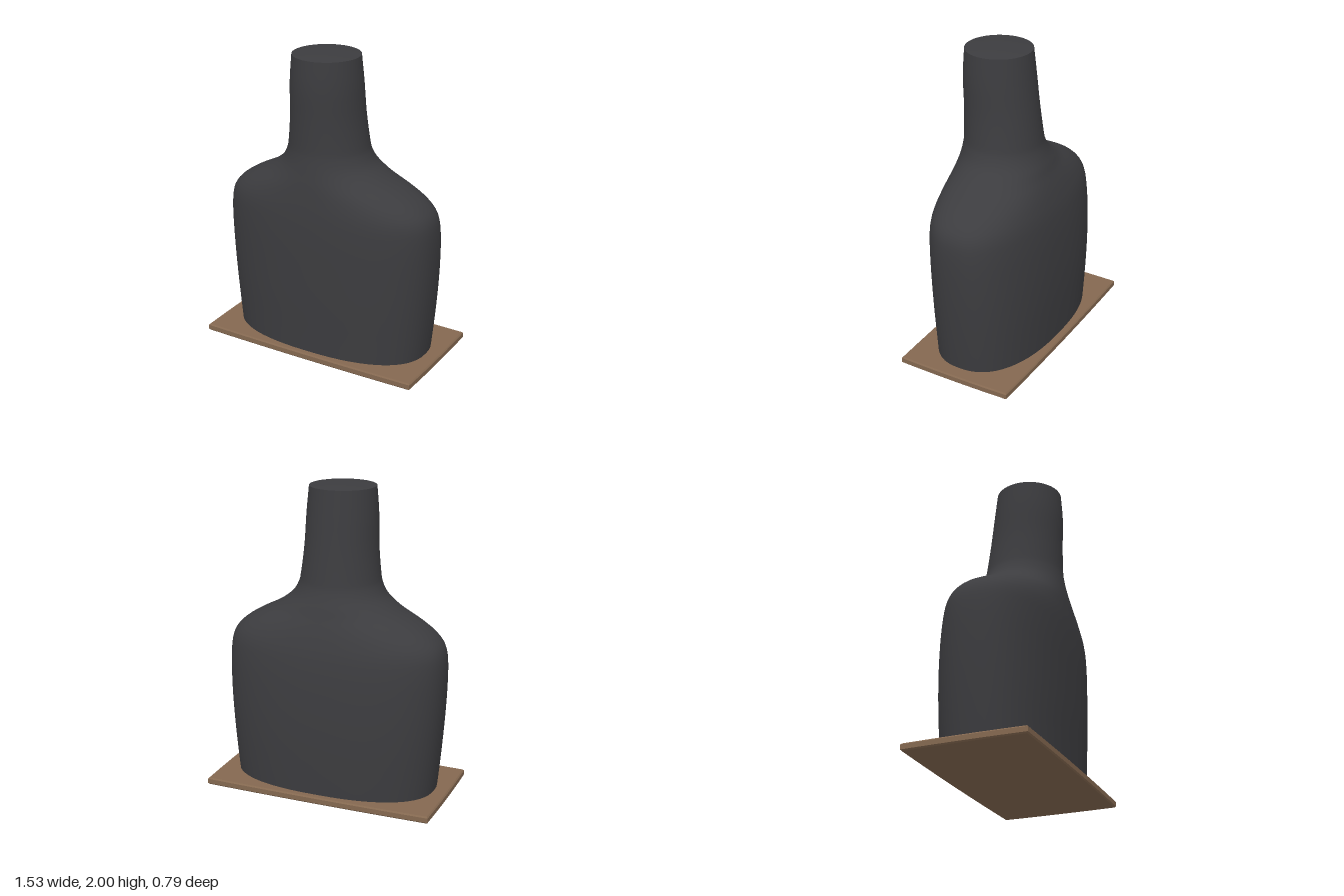
import * as THREE from 'three';
import { toCreasedNormals } from 'three/addons/utils/BufferGeometryUtils.js';

// Skins stacked rings (bottom to top) and closes both ends with an apex point.
function loft(rings, bottom, top) {
  const n = rings[0].length, pos = [], idx = [];
  rings.forEach(r => r.forEach(p => pos.push(...p)));
  const lastRing = (rings.length - 1) * n, b = rings.length * n, t = b + 1;
  pos.push(...bottom, ...top);
  for (let j = 0; j < n; j++) {
    const k = (j + 1) % n;
    for (let i = 0; i < lastRing; i += n) {
      idx.push(i + j, i + n + j, i + k, i + n + j, i + n + k, i + k);
    }
    idx.push(b, j, k, t, lastRing + k, lastRing + j);
  }
  const g = new THREE.BufferGeometry();
  g.setAttribute('position', new THREE.Float32BufferAttribute(pos, 3));
  g.setIndex(idx);
  return toCreasedNormals(g, 0.6);
}

// Superellipse section between a front and a back depth.
function section(y, halfWidth, front, back, power, count = 64) {
  const mid = (front + back) / 2, depth = (front - back) / 2;
  const bend = v => Math.sign(v) * Math.abs(v) ** (2 / power);
  return Array.from({ length: count }, (_, j) => {
    const a = j / count * Math.PI * 2;
    return [halfWidth * bend(Math.cos(a)), y, mid + depth * bend(Math.sin(a))];
  });
}

// Rectangle with very slightly bowed sides.
function bowedRectangle(y, inset) {
  const corners = [[1, -1], [1, 1], [-1, 1], [-1, -1]], ring = [], steps = 8;
  corners.forEach(([x0, z0], c) => {
    const [x1, z1] = corners[(c + 1) % 4];
    for (let s = 0; s < steps; s++) {
      const u = s / steps, x = x0 + (x1 - x0) * u, z = z0 + (z1 - z0) * u;
      ring.push([
        x * (0.76 - inset + 0.006 * (1 - z * z)),
        y,
        z * (0.388 - inset + 0.009 * (1 - x * x)),
      ]);
    }
  });
  return ring;
}

export function createModel() {
  const group = new THREE.Group();
  const add = (name, geometry, color) => {
    const mesh = new THREE.Mesh(geometry, new THREE.MeshStandardMaterial({ color }));
    mesh.name = name;
    group.add(mesh);
  };

  // Bust: height, half width, front z, back z
  const rows = [
    [0.05, 0.675, 0.36, -0.354], [0.2, 0.69, 0.364, -0.36],
    [0.4, 0.707, 0.37, -0.365], [0.6, 0.72, 0.372, -0.362],
    [0.8, 0.726, 0.372, -0.35], [0.93, 0.721, 0.368, -0.334],
    [1.0, 0.705, 0.364, -0.32], [1.05, 0.673, 0.36, -0.306],
    [1.1, 0.615, 0.355, -0.29], [1.15, 0.53, 0.35, -0.271],
    [1.2, 0.43, 0.344, -0.25], [1.25, 0.355, 0.336, -0.232],
    [1.3, 0.302, 0.328, -0.21], [1.36, 0.27, 0.319, -0.188],
    [1.42, 0.256, 0.315, -0.178], [1.6, 0.236, 0.316, -0.155],
    [1.8, 0.228, 0.322, -0.132], [1.975, 0.213, 0.312, -0.112],
  ];
  const [width, front, back] = [1, 2, 3].map(
    c => new THREE.SplineCurve(rows.map(r => new THREE.Vector2(r[c], r[0]))));
  const rings = [], steps = 51;
  for (let i = 0; i <= steps; i++) {
    const t = i / steps, w = width.getPoint(t);
    // Boxy torso sections turn circular at the neck
    const power = 2.4 - 0.4 * THREE.MathUtils.smoothstep(w.y, 0.95, 1.35);
    rings.push(section(w.y, w.x, front.getPoint(t).x, back.getPoint(t).x, power));
  }
  add('bust', loft(rings, [0, 0.05, 0], [0, 2, 0.1]), 0x3c3c3f);

  // Base board with chamfered edges and a shallow bowed underside
  const board = [[0.012, 0.008], [0.02, 0], [0.05, 0], [0.058, 0.008]]
    .map(([y, inset]) => bowedRectangle(y, inset));
  add('baseBoard', loft(board, [0, 0, 0], [0, 0.058, 0]), 0x846850);

  return group;
}
